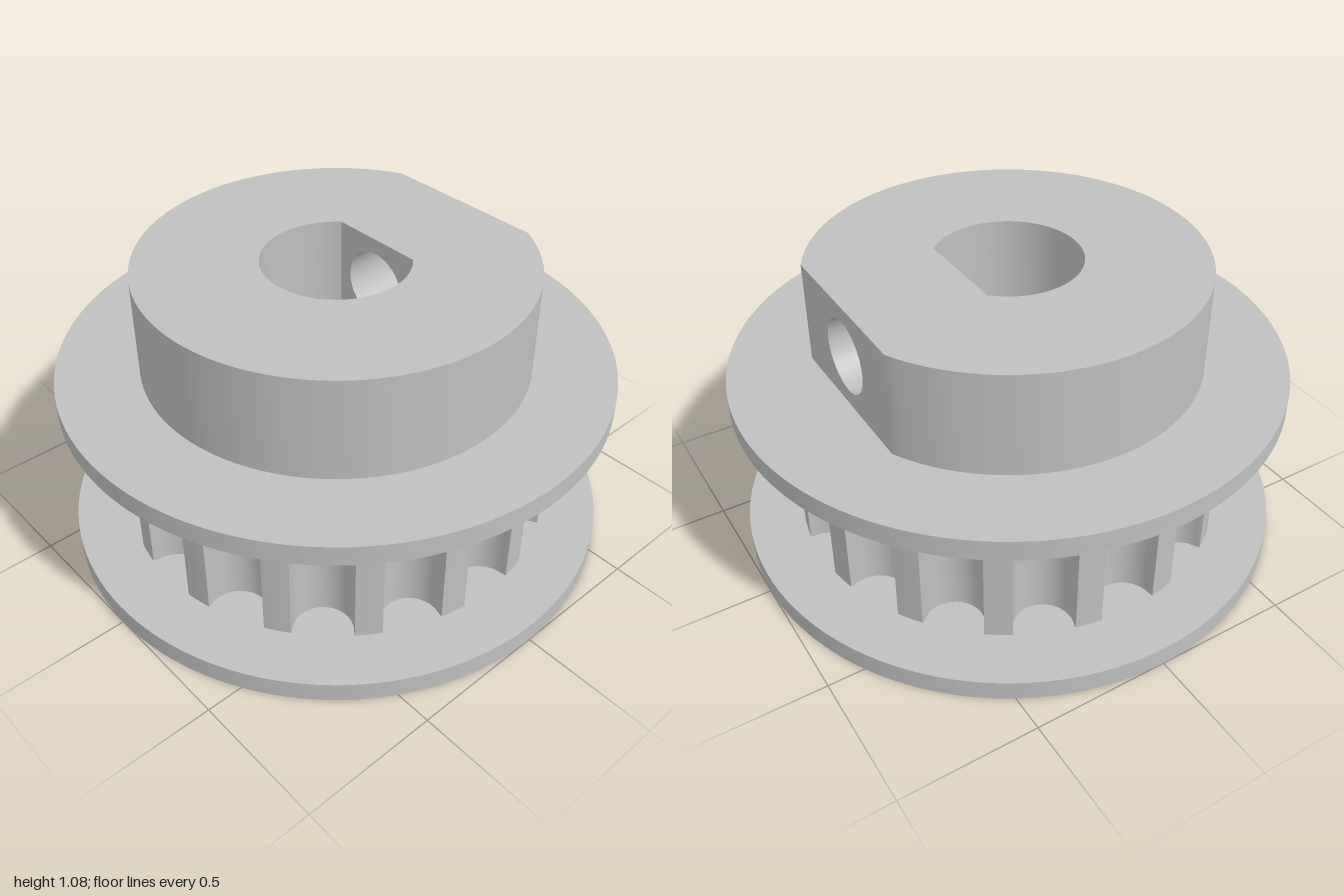
import * as THREE from 'three';
import { toCreasedNormals } from 'three/addons/utils/BufferGeometryUtils.js';

const BORE_R = 0.263, BORE_FLAT = 0.19;
const HUB_R = 0.703, HUB_FLAT = 0.627;
const FLANGE_H = 0.075, TEETH_TOP = 0.622, HUB_BASE = 0.697, TOP = 1.077;
const TEETH = 16, TOOTH_R = 0.797, GROOVE_R = 0.105, GROOVE_CENTRE = 0.772;

// Points of a circle cut by a flat at x = flat
function dPoints(radius, flat) {
  const a = Math.acos(flat / radius);
  return new THREE.Path().absarc(0, 0, radius, a, Math.PI * 2 - a, false).getPoints(48);
}

function boreHole() {
  return new THREE.Path(dPoints(BORE_R, BORE_FLAT));
}

// Extrude a plan shape upward from y0 to y1
function extrudeUp(shape, y0, y1, curveSegments) {
  const geo = new THREE.ExtrudeGeometry(shape, { depth: y1 - y0, bevelEnabled: false, curveSegments });
  geo.rotateX(-Math.PI / 2);
  geo.translate(0, y0, 0);
  return toCreasedNormals(geo, 0.6);
}

function flangeShape() {
  const s = new THREE.Shape();
  s.absarc(0, 0, 1, 0, Math.PI * 2, false);
  s.holes.push(boreHole());
  return s;
}

// Toothed ring with round-bottomed grooves
function toothShape() {
  const s = new THREE.Shape();
  const pitch = Math.PI * 2 / TEETH;
  const half = THREE.MathUtils.degToRad(7.8);
  for (let i = 0; i < TEETH; i++) {
    const a = i * pitch;
    s.absarc(Math.cos(a) * GROOVE_CENTRE, Math.sin(a) * GROOVE_CENTRE, GROOVE_R,
      a - Math.PI / 2, a + Math.PI / 2, true);
    s.absarc(0, 0, TOOTH_R, a + half, a + pitch - half, false);
  }
  s.closePath();
  s.holes.push(boreHole());
  return s;
}

// Hub plan, leaving a slot between the two flats for the drilled block
function hubShape() {
  const bore = dPoints(BORE_R, BORE_FLAT).reverse();
  const z = bore[bore.length - 1].y;
  return new THREE.Shape([
    ...dPoints(HUB_R, HUB_FLAT),
    new THREE.Vector2(HUB_FLAT, -z),
    ...bore,
    new THREE.Vector2(HUB_FLAT, z),
  ]);
}

// Block filling the slot, with the set screw hole running along x
function screwBlock() {
  const z = Math.sqrt(BORE_R ** 2 - BORE_FLAT ** 2);
  const s = new THREE.Shape([
    new THREE.Vector2(-z, HUB_BASE), new THREE.Vector2(z, HUB_BASE),
    new THREE.Vector2(z, TOP), new THREE.Vector2(-z, TOP),
  ]);
  s.holes.push(new THREE.Path().absarc(0, 0.887, 0.133, 0, Math.PI * 2, true));
  const geo = new THREE.ExtrudeGeometry(s, { depth: HUB_FLAT - BORE_FLAT, bevelEnabled: false, curveSegments: 24 });
  geo.rotateY(Math.PI / 2);
  geo.translate(BORE_FLAT, 0, 0);
  return toCreasedNormals(geo, 0.6);
}

export function createModel() {
  const metal = new THREE.MeshStandardMaterial({ color: 0xc0c0c0 });
  metal.name = 'grey metal';
  const pulley = new THREE.Group();
  pulley.name = 'timingPulley';

  const add = (name, geo) => {
    const mesh = new THREE.Mesh(geo, metal);
    mesh.name = name;
    pulley.add(mesh);
  };

  add('lowerFlange', extrudeUp(flangeShape(), 0, FLANGE_H, 64));
  add('toothedRing', extrudeUp(toothShape(), FLANGE_H, TEETH_TOP, 7));
  add('upperFlange', extrudeUp(flangeShape(), TEETH_TOP, HUB_BASE, 64));
  add('hub', extrudeUp(hubShape(), HUB_BASE, TOP, 12));
  add('setScrewBlock', screwBlock());
  return pulley;
}
